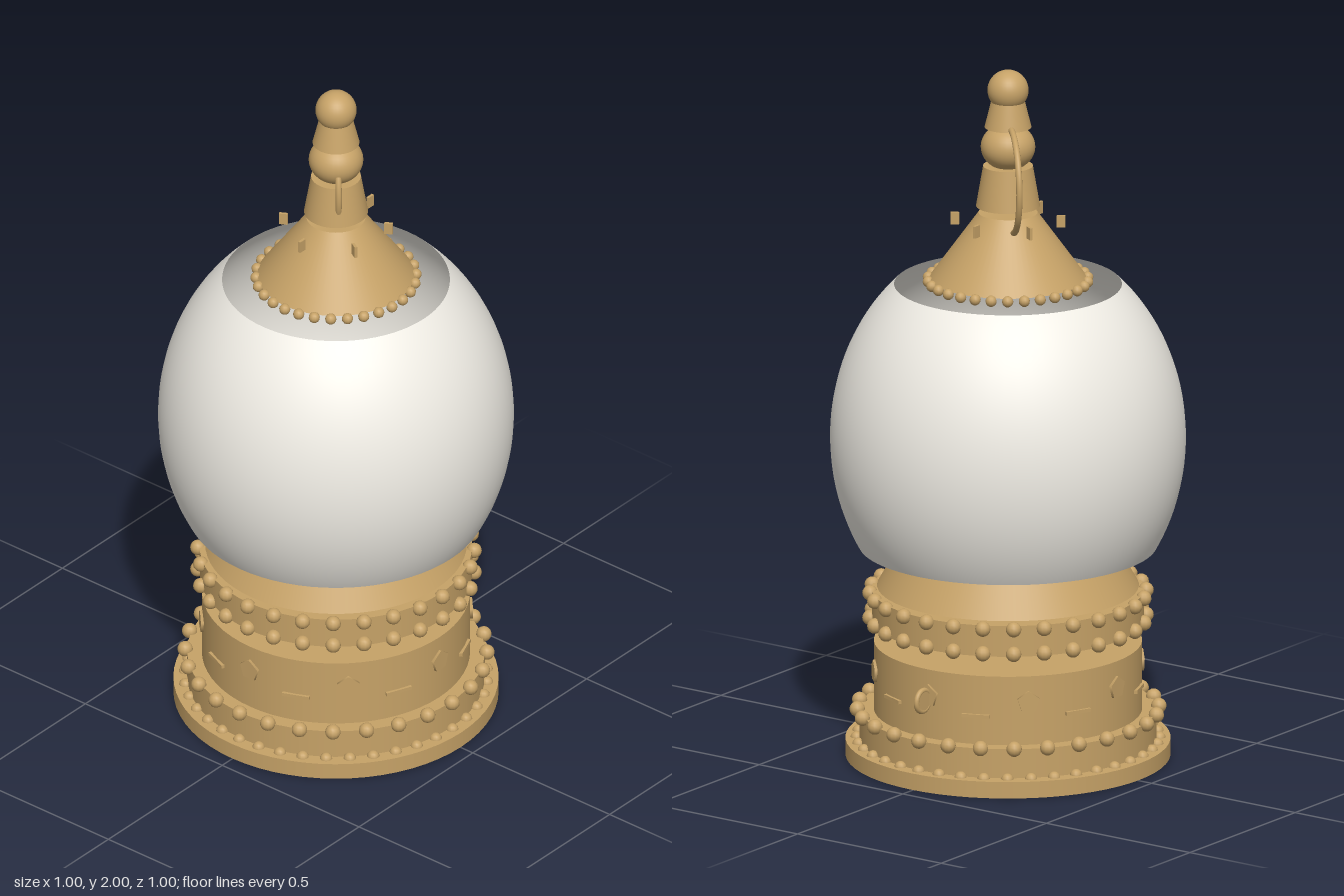
import * as THREE from 'three';

const gold = new THREE.MeshStandardMaterial({ color: 0xc6a267 });
const darkFelt = new THREE.MeshStandardMaterial({ color: 0x1e1e22 });
const frosted = new THREE.MeshStandardMaterial({ color: 0xefece4, side: THREE.DoubleSide });

export function createModel() {
  const model = new THREE.Group();

  function add(name, geometry, x = 0, y = 0, z = 0, parent = model, material = gold) {
    const mesh = new THREE.Mesh(geometry, material);
    mesh.name = name;
    mesh.position.set(x, y, z);
    parent.add(mesh);
    return mesh;
  }

  // Round section between two heights
  function drum(name, rBottom, rTop, y0, y1) {
    return add(name, new THREE.CylinderGeometry(rTop, rBottom, y1 - y0, 64), 0, (y0 + y1) / 2, 0);
  }

  // Copies spaced evenly around the axis, each turned so its local +z points outward
  function ring(name, geometry, count, radius, y, phase = 0) {
    const group = new THREE.Group();
    group.name = name;
    for (let i = 0; i < count; i++) {
      const a = phase + (i / count) * Math.PI * 2;
      add(name + 'Piece', geometry, radius * Math.sin(a), y, radius * Math.cos(a), group).rotation.y = a;
    }
    model.add(group);
  }

  const bead = (r) => new THREE.SphereGeometry(r, 12, 8);

  // Stepped base with a dark pad underneath
  const pad = add('basePad', new THREE.CircleGeometry(0.435, 64), 0, 0, 0, model, darkFelt);
  pad.rotation.x = Math.PI / 2;
  drum('basePlate', 0.457, 0.457, 0.002, 0.05);
  drum('baseStep', 0.418, 0.418, 0.05, 0.135);
  ring('baseSmallBeads', bead(0.018), 40, 0.425, 0.048);
  ring('baseBeads', bead(0.022), 28, 0.424, 0.137);

  // Main drum with pentagonal studs and short bars between them
  drum('mainDrum', 0.377, 0.377, 0.135, 0.335);
  const stud = new THREE.CylinderGeometry(0.033, 0.033, 0.016, 5);
  stud.rotateY(Math.PI).rotateX(Math.PI / 2);
  ring('pentagonStuds', stud, 8, 0.376, 0.26);
  ring('drumBars', new THREE.BoxGeometry(0.08, 0.01, 0.016), 8, 0.376, 0.218, Math.PI / 8);

  // Winding key on the left side
  const key = new THREE.Group();
  key.name = 'windingKey';
  key.position.set(0.405, 0.25, 0);
  add('keyDisc', new THREE.CylinderGeometry(0.03, 0.03, 0.014, 24), 0, 0, 0, key).rotation.x = Math.PI / 2;
  add('keyRim', new THREE.TorusGeometry(0.03, 0.008, 10, 28), 0, 0, 0, key);
  model.add(key);

  // Beaded band and flared neck under the globe
  drum('upperBand', 0.383, 0.383, 0.395, 0.485);
  ring('bandLowerBeads', bead(0.022), 28, 0.388, 0.404);
  ring('bandUpperBeads', bead(0.022), 28, 0.388, 0.476);
  drum('flaredNeck', 0.368, 0.3, 0.495, 0.615);

  // Open globe, slightly taller than round
  const globe = new THREE.SphereGeometry(0.5, 72, 40, 0, Math.PI * 2, 0.695, 1.449);
  globe.scale(1, 1.16, 1);
  add('globe', globe, 0, 0.93, 0, model, frosted);

  // Conical cap with beads and floating tabs
  drum('capCone', 0.22, 0.083, 1.395, 1.585);
  ring('capBeads', bead(0.016), 30, 0.225, 1.388, Math.PI / 2);
  ring('capTabs', new THREE.BoxGeometry(0.008, 0.035, 0.024), 6, 0.15, 1.563, Math.PI / 2);

  // Finial
  drum('finialStem', 0.09, 0.07, 1.605, 1.722);
  const bulb = new THREE.SphereGeometry(0.077, 32, 20);
  bulb.scale(1, 0.86, 1);
  add('finialBulb', bulb, 0, 1.777, 0);
  drum('finialNeck', 0.066, 0.045, 1.835, 1.92);
  add('finialBall', new THREE.SphereGeometry(0.058, 32, 20), 0, 1.942, 0);

  // Carrying ring set diagonally through the finial
  const handle = add('carryingRing', new THREE.TorusGeometry(0.147, 0.009, 12, 64), 0.045, 1.695, -0.045);
  handle.rotation.y = Math.PI / 4;

  return model;
}
